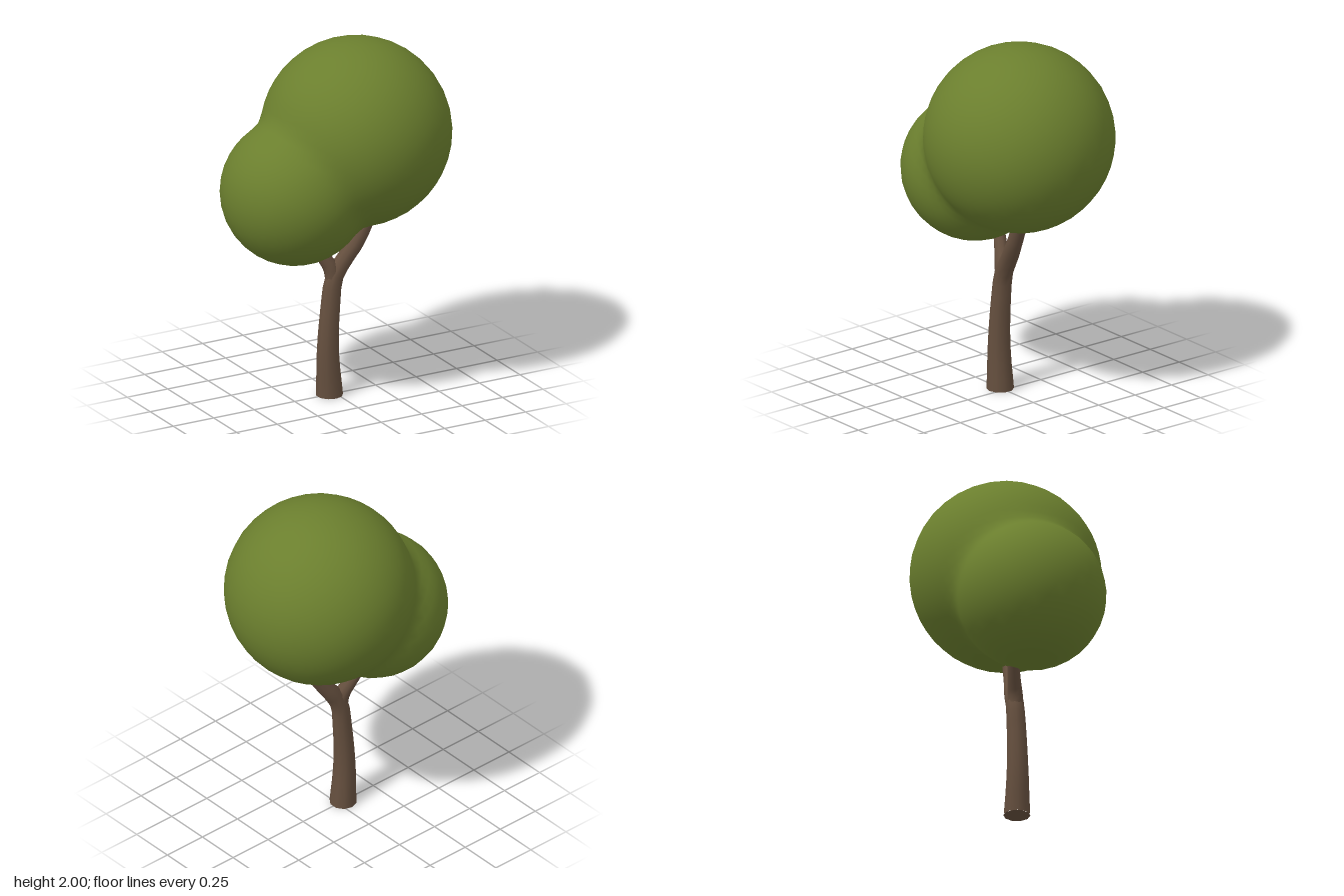
import * as THREE from 'three';
import { mergeVertices } from 'three/addons/utils/BufferGeometryUtils.js';

const V = (x, y, z) => new THREE.Vector3(x, y, z);

// Tube along a smooth path whose radius follows the list of radii
function taperedTube(points, radii, segments, sides) {
  const curve = new THREE.CatmullRomCurve3(points);
  const geo = new THREE.TubeGeometry(curve, segments, 1, sides);
  const pos = geo.attributes.position;
  const v = V(0, 0, 0);
  for (let i = 0; i <= segments; i++) {
    const t = i / segments;
    const centre = curve.getPointAt(t);
    const f = t * (radii.length - 1);
    const k = Math.min(Math.floor(f), radii.length - 2);
    const r = THREE.MathUtils.lerp(radii[k], radii[k + 1], f - k);
    for (let j = 0; j <= sides; j++) {
      const n = i * (sides + 1) + j;
      v.fromBufferAttribute(pos, n).sub(centre).multiplyScalar(r).add(centre);
      if (points[0].y === 0 && i === 0) v.y = 0;
      pos.setXYZ(n, v.x, v.y, v.z);
    }
  }
  return geo;
}

// Two overlapping balls softly blended into one skin, cast outward from a shared inner point
function blendedCanopy(balls, core, softness) {
  let geo = new THREE.IcosahedronGeometry(1, 8);
  geo.deleteAttribute('uv');
  geo.deleteAttribute('normal');
  geo = mergeVertices(geo, 1e-4);
  const pos = geo.attributes.position;
  const d = V(0, 0, 0);
  for (let i = 0; i < pos.count; i++) {
    d.fromBufferAttribute(pos, i).normalize();
    const [a, b] = balls.map(({ centre, radius }) => {
      const o = centre.clone().sub(core);
      const along = o.dot(d);
      return along + Math.sqrt(along * along - o.lengthSq() + radius * radius);
    });
    const h = Math.max(softness - Math.abs(a - b), 0) / softness;
    d.multiplyScalar(Math.max(a, b) + h * h * softness / 4).add(core);
    pos.setXYZ(i, d.x, d.y, d.z);
  }
  geo.computeVertexNormals();
  return geo;
}

export function createModel() {
  const bark = new THREE.MeshStandardMaterial({ color: 0x66503f });
  bark.name = 'bark brown';
  const leaf = new THREE.MeshStandardMaterial({ color: 0x6b7f2e });
  leaf.name = 'leaf green';

  const tree = new THREE.Group();
  tree.name = 'tree';
  const add = (name, geometry, material) => {
    const mesh = new THREE.Mesh(geometry, material);
    mesh.name = name;
    tree.add(mesh);
    return mesh;
  };

  // Trunk continuing into the thicker branch
  add('trunk', taperedTube(
    [V(-0.035, 0, 0), V(-0.045, 0.25, 0), V(-0.03, 0.5, 0), V(-0.005, 0.67, 0), V(0.055, 0.77, 0.01),
      V(0.115, 0.86, 0.03), V(0.17, 0.97, 0.04), V(0.19, 1.03, 0.045)],
    [0.074, 0.066, 0.06, 0.056, 0.053, 0.05, 0.047, 0.043, 0.04], 16, 10), bark);

  // Thinner side branch
  add('sideBranch', taperedTube(
    [V(-0.01, 0.64, 0), V(-0.022, 0.72, -0.005), V(-0.06, 0.79, -0.025), V(-0.1, 0.86, -0.045), V(-0.13, 0.91, -0.055)],
    [0.044, 0.043, 0.037, 0.033, 0.03], 8, 10), bark);

  // Underside of the trunk
  const base = add('trunkBase', new THREE.CircleGeometry(0.073, 10), bark);
  base.rotation.x = Math.PI / 2;
  base.position.x = -0.035;

  // Foliage
  add('canopy', blendedCanopy(
    [{ centre: V(0.13, 1.485, 0), radius: 0.517 }, { centre: V(-0.25, 1.21, 0), radius: 0.403 }],
    V(-0.07, 1.34, 0), 0.06), leaf);

  return tree;
}
